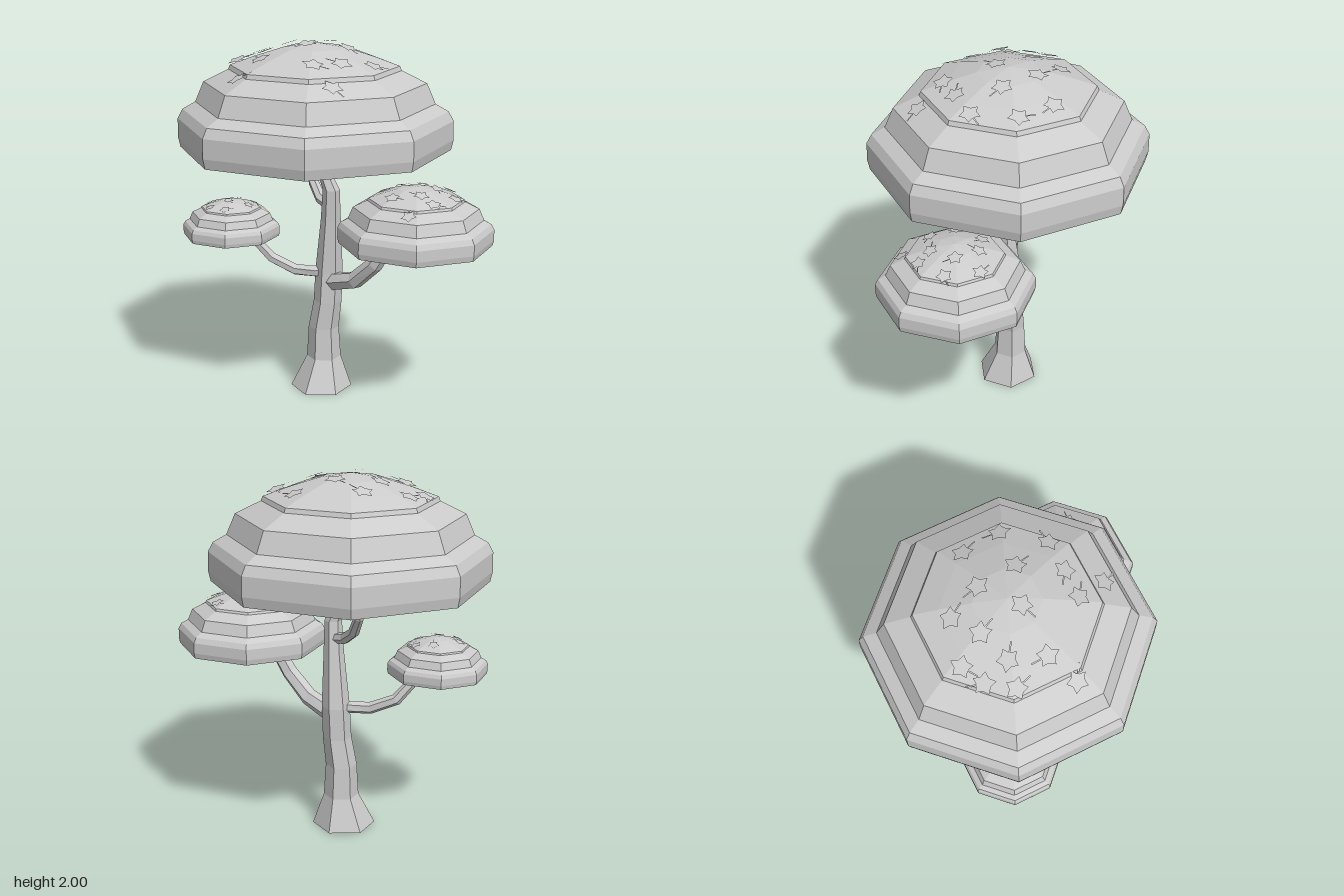
import * as THREE from 'three';

const material = new THREE.MeshStandardMaterial({ color: 0xcccccc, flatShading: true });
const leafMaterial = new THREE.MeshStandardMaterial({ color: 0xcccccc, side: THREE.DoubleSide });

// Canopy profiles as [radius, height above rim]
const OUTER = [[0.745, 0], [0.757, 0.055], [0.755, 0.16], [0.727, 0.212], [0.655, 0.253], [0.607, 0.365],
  [0.47, 0.433], [0.46, 0.457], [0.33, 0.505], [0.17, 0.555], [0, 0.582]];
const INNER = [[0, 0.562], [0.17, 0.535], [0.32, 0.487], [0.445, 0.442], [0.455, 0.418], [0.59, 0.35],
  [0.635, 0.238], [0.7, 0.195], [0.715, 0.15], [0.71, 0.06], [0.64, 0]];

// Limb: cylinder rings moved along a path of [x, y, z, radius]
function limb(name, path, sides, upright = false, thetaStart = 0) {
  const geo = new THREE.CylinderGeometry(1, 1, 1, sides, path.length - 1, false, thetaStart);
  const up = new THREE.Vector3(0, 1, 0);
  const centres = path.map(([x, y, z]) => new THREE.Vector3(x, y, z));
  const turns = centres.map((c, i) => {
    const q = new THREE.Quaternion();
    if (upright) return q;
    const next = centres[Math.min(i + 1, path.length - 1)];
    const prev = centres[Math.max(i - 1, 0)];
    return q.setFromUnitVectors(up, next.clone().sub(prev).normalize());
  });
  const pos = geo.attributes.position;
  const v = new THREE.Vector3();
  for (let i = 0; i < pos.count; i++) {
    v.fromBufferAttribute(pos, i);
    const k = Math.round((v.y + 0.5) * (path.length - 1));
    v.setY(0).multiplyScalar(path[k][3]).applyQuaternion(turns[k]).add(centres[k]);
    pos.setXYZ(i, v.x, v.y, v.z);
  }
  geo.computeVertexNormals();
  const mesh = new THREE.Mesh(geo, material);
  mesh.name = name;
  return mesh;
}

// Flat five-pointed leaf with a stem, facing up, stem toward +z
function leafGeometry() {
  const shape = new THREE.Shape();
  const at = (r, a) => [r * Math.sin(a), r * Math.cos(a)];
  shape.moveTo(...at(0.062, 0));
  for (let i = 1; i < 10; i++) {
    if (i === 5) {
      shape.lineTo(0.004, -0.035);
      shape.lineTo(0.004, -0.088);
      shape.lineTo(-0.004, -0.088);
      shape.lineTo(-0.004, -0.035);
    } else shape.lineTo(...at(i % 2 ? 0.036 : 0.058, (i * Math.PI) / 5));
  }
  shape.closePath();
  return new THREE.ShapeGeometry(shape).rotateX(-Math.PI / 2);
}
const leafGeo = leafGeometry();

// Height and normal on the eight-sided dome
function domePoint(x, z) {
  const step = Math.PI / 4, c = Math.cos(step / 2);
  const mid = (Math.floor(Math.atan2(x, z) / step) + 0.5) * step;
  const d = (x * Math.sin(mid) + z * Math.cos(mid)) / c;
  let i = OUTER.length - 2;
  while (i > 0 && OUTER[i][0] < d) i--;
  const [r0, y0] = OUTER[i], [r1, y1] = OUTER[i + 1];
  const slope = (y1 - y0) / (r1 - r0);
  return {
    y: y0 + slope * (d - r0),
    normal: new THREE.Vector3(-slope * Math.sin(mid) / c, 1, -slope * Math.cos(mid) / c).normalize(),
  };
}

// Leaves are [x, z, stem direction in degrees] in the canopy's own frame
function canopy(name, x, y, z, scale, leafScale, leaves) {
  const group = new THREE.Group();
  group.name = name;
  // Thin shell: inside surface, rim, then outside surface
  const profile = [...INNER, ...OUTER].map(([r, h]) => new THREE.Vector2(r, h));
  const shell = new THREE.Mesh(new THREE.LatheGeometry(profile, 8), material);
  shell.name = name + 'Shell';
  group.add(shell);
  // Scattered leaves
  for (const [lx, lz, turn] of leaves) {
    const { y: ly, normal } = domePoint(lx, lz);
    const leaf = new THREE.Mesh(leafGeo, leafMaterial);
    leaf.name = 'leaf';
    leaf.position.set(lx, ly, lz).addScaledVector(normal, 0.017);
    leaf.quaternion.setFromUnitVectors(new THREE.Vector3(0, 1, 0), normal);
    leaf.rotateY(THREE.MathUtils.degToRad(turn));
    leaf.scale.setScalar(leafScale);
    group.add(leaf);
  }
  group.position.set(x, y, z);
  group.scale.setScalar(scale);
  return group;
}

export function createModel() {
  const tree = new THREE.Group();
  tree.name = 'tree';

  // Trunk with flared foot
  tree.add(limb('trunk', [
    [-0.118, 0, -0.024, 0.173], [-0.116, 0.18, -0.043, 0.097], [-0.117, 0.36, -0.043, 0.086],
    [-0.095, 0.52, -0.054, 0.079], [-0.09, 0.7, -0.06, 0.077], [-0.064, 1.0, -0.05, 0.056],
    [-0.049, 1.18, -0.04, 0.047], [-0.13, 1.4, 0.005, 0.026], [-0.14, 1.62, 0.01, 0.012],
  ], 6, true, THREE.MathUtils.degToRad(17)));

  // Branches
  tree.add(limb('leftBranch', [
    [-0.12, 0.64, -0.055, 0.045], [-0.03, 0.65, -0.052, 0.052], [0.13, 0.695, -0.055, 0.05],
    [0.265, 0.815, -0.075, 0.046], [0.35, 0.965, -0.11, 0.04], [0.4, 1.1, -0.14, 0.03],
  ], 6));
  tree.add(limb('rightBranch', [
    [-0.08, 0.7, -0.06, 0.03], [-0.14, 0.692, -0.005, 0.034], [-0.235, 0.695, 0.065, 0.033],
    [-0.355, 0.755, 0.14, 0.032], [-0.44, 0.9, 0.235, 0.027], [-0.47, 0.99, 0.27, 0.02],
  ], 6));
  tree.add(limb('upperBranch', [
    [-0.05, 1.08, -0.045, 0.03], [-0.16, 1.105, -0.06, 0.032], [-0.265, 1.17, -0.1, 0.03],
    [-0.34, 1.27, -0.14, 0.026], [-0.385, 1.42, -0.17, 0.018], [-0.4, 1.57, -0.175, 0.01],
  ], 6));

  // Canopies
  tree.add(canopy('largeCanopy', -0.138, 1.405, 0, 1, 1, [
    [0.02, 0.07, 0], [0.06, -0.34, 90], [0.26, -0.28, -120], [-0.23, -0.15, 95], [-0.04, -0.15, -100],
    [0.16, -0.09, 85], [0.38, -0.07, 160], [-0.2, 0.01, 90], [0.31, 0.09, -60], [-0.37, 0.04, 10],
    [-0.36, 0.17, -130], [-0.21, 0.19, 120], [-0.28, 0.3, 85], [-0.07, 0.31, -110], [0.25, 0.23, 120],
    [0.42, 0.25, 90], [-0.05, 0.48, 130],
  ]));
  tree.add(canopy('leftCanopy', 0.477, 0.96, -0.17, 0.55, 1.35, [
    [0.08, -0.38, -90], [0.34, -0.18, 150], [0.14, -0.13, 60], [0.35, 0.13, 130], [0.3, 0.4, -140],
    [0.19, 0.13, -60], [-0.22, 0.2, 100], [-0.1, -0.2, 20], [-0.28, -0.08, 90], [0, 0.32, 110],
  ]));
  tree.add(canopy('rightCanopy', -0.49, 0.895, 0.32, 0.36, 1.5, [
    [0.05, 0.08, 80], [-0.26, 0.18, 110], [0.28, -0.12, -90], [-0.12, -0.24, 40], [0.22, 0.28, 140],
    [-0.05, 0.36, -100], [0.14, -0.34, 90],
  ]));
  return tree;
}
